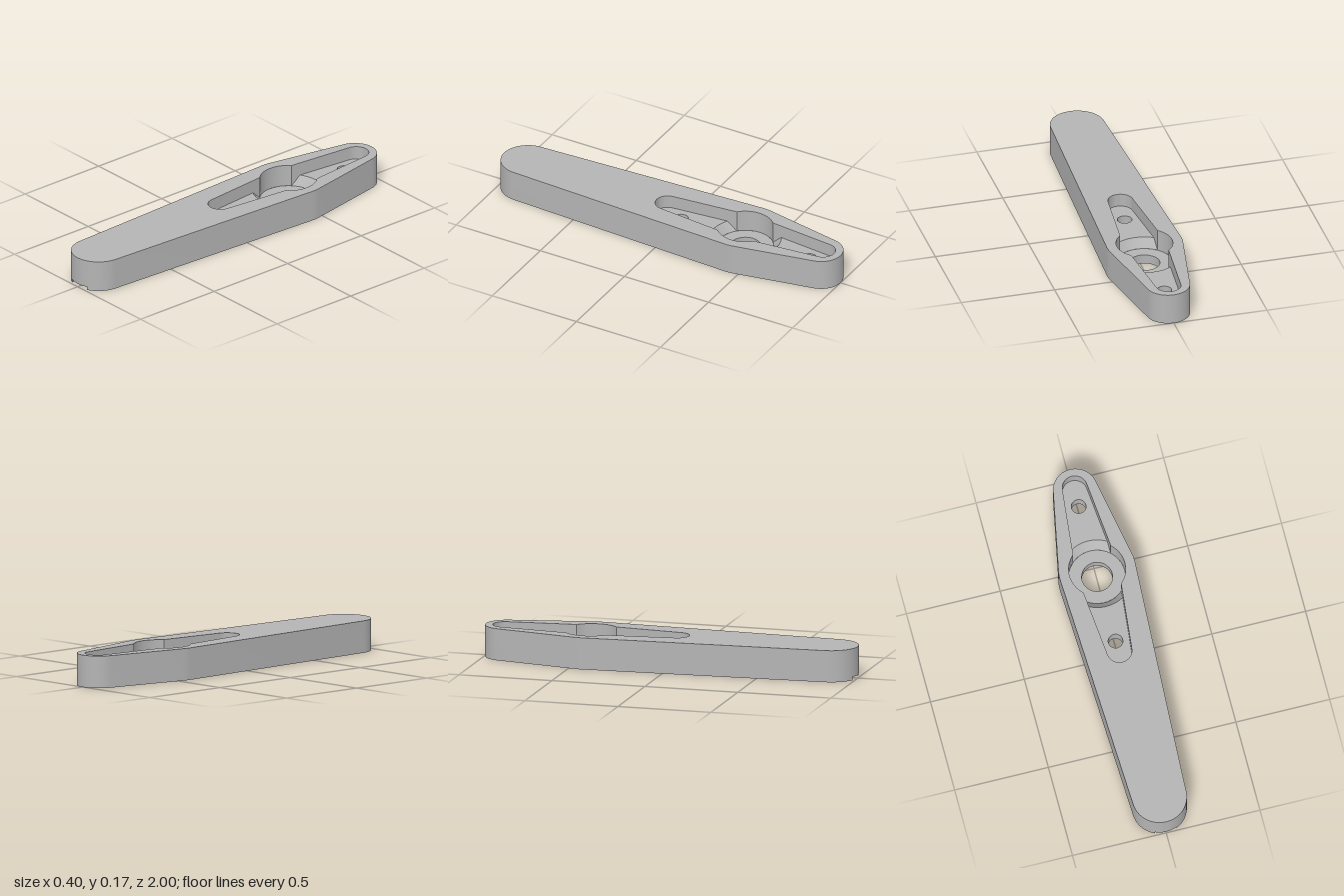
import * as THREE from 'three';
import { mergeGeometries, toCreasedNormals } from 'three/addons/utils/BufferGeometryUtils.js';

const HEIGHT = 0.167, ARM_Y = 0.097, HUB_Y = 0.05, BORE_Y = 0.03, NOTCH_Y = 0.018;
const HUB_Z = -0.434, HUB_R = 0.147, RAMP_R = 0.186, SHAFT_R = 0.08;
const SCREW_R = 0.038, BORE_R = 0.058, SCREW_D = 0.382;
const NOTCH_X = 0.058, NOTCH_Z = 0.91;
const PI = Math.PI;

// Points [x, z] along an arc centred on x = 0
function arc(cz, r, a0, a1, n = 12) {
  return Array.from({ length: n + 1 }, (_, i) => {
    const a = a0 + (a1 - a0) * i / n;
    return [r * Math.cos(a), cz + r * Math.sin(a)];
  });
}
const circle = (cz, r) => arc(cz, r, 0, 2 * PI, 40).slice(0, -1);
const at = (pts, y) => pts.map(([x, z]) => [x, y, z]);
const turn = pts => pts.map(([x, z]) => [-x, 2 * HUB_Z - z]);

// Surface between two rows of 3D points; faces outward unless inward is set
function strip(low, high, inward = false, closed = true) {
  const pos = [], n = low.length;
  for (let i = 0; i < (closed ? n : n - 1); i++) {
    const j = (i + 1) % n;
    const quad = [low[i], high[i], high[j], low[i], high[j], low[j]];
    pos.push(...(inward ? quad.reverse() : quad).flat());
  }
  const g = new THREE.BufferGeometry();
  g.setAttribute('position', new THREE.Float32BufferAttribute(pos, 3));
  return toCreasedNormals(g, 0.5);
}
const wall = (pts, y0, y1, inward) => strip(at(pts, y0), at(pts, y1), inward);

// Flat face with holes, facing up or down
function flat(pts, holes, y, up) {
  const s = up ? -1 : 1;
  const v = list => list.map(([x, z]) => new THREE.Vector2(x, s * z));
  const shape = new THREE.Shape(v(pts));
  shape.holes = holes.map(h => new THREE.Path(v(h)));
  const g = new THREE.ShapeGeometry(shape).rotateX(s * PI / 2).translate(0, y, 0).toNonIndexed();
  g.deleteAttribute('uv');
  return g;
}

export function createModel() {
  const group = new THREE.Group();
  group.name = 'leverArm';
  const grey = new THREE.MeshStandardMaterial({ color: 0xb4b4b4 });
  grey.name = 'grey';
  const add = (name, ...parts) => {
    const mesh = new THREE.Mesh(mergeGeometries(parts), grey);
    mesh.name = name;
    group.add(mesh);
  };

  // Outline: tangent hull around the front end, hub and back end
  const f = 0.0449, b = 0.1896, fz = 0.858, fr = 0.142;
  const na = Math.acos(NOTCH_X / fr);
  const frontRight = arc(fz, fr, f, na), frontTip = arc(fz, fr, na, PI - na);
  const frontLeft = arc(fz, fr, PI - na, PI - f);
  const rear = [
    ...arc(HUB_Z, 0.2, PI - f, PI + b, 4),
    ...arc(-0.885, 0.115, PI + b, 2 * PI - b, 28),
    ...arc(HUB_Z, 0.2, -b, f, 4),
  ];
  const notchBack = [[NOTCH_X, NOTCH_Z], [-NOTCH_X, NOTCH_Z]];
  const outline = [...frontRight, ...frontTip.slice(1, -1), ...frontLeft, ...rear];
  const notched = [...frontRight, ...notchBack, ...frontLeft, ...rear];

  // Recess outline: round hub with two tapering arms
  const hubA = Math.acos(0.1 / HUB_R), rampA = Math.acos(0.095 / RAMP_R), tip = 0.0967;
  const innerArc = arc(HUB_Z, HUB_R, hubA, PI - hubA);
  const outerArc = arc(HUB_Z, RAMP_R, rampA, PI - rampA);
  const endArc = arc(HUB_Z + 0.462, 0.065, tip, PI - tip, 20);
  const half = [
    ...arc(HUB_Z, HUB_R, 0, hubA),
    outerArc[0], ...endArc, outerArc[outerArc.length - 1],
    ...arc(HUB_Z, HUB_R, PI - hubA, PI).slice(0, -1),
  ];
  const recess = [...half, ...turn(half)];
  const floorY = ([x, z]) => {
    const t = (Math.hypot(x, z - HUB_Z) - HUB_R) / (RAMP_R - HUB_R);
    return HUB_Y + (ARM_Y - HUB_Y) * THREE.MathUtils.clamp(t, 0, 1);
  };

  const shaft = circle(HUB_Z, SHAFT_R);
  const screwZ = [HUB_Z + SCREW_D, HUB_Z - SCREW_D];
  const bores = screwZ.map(z => circle(z, BORE_R));

  // Outer body
  add('sideWall', wall(outline, NOTCH_Y, HEIGHT), wall(notched, 0, NOTCH_Y));
  add('topFace', flat(outline, [recess], HEIGHT, true));
  add('bottomFace', flat(notched, [shaft, ...bores], 0, false));
  add('notchCeiling', flat([...frontTip, ...notchBack.slice().reverse()], [], NOTCH_Y, false));

  // Recess walls and hub seat
  add('recessWall', strip(recess.map(p => [p[0], floorY(p), p[1]]), at(recess, HEIGHT), true));
  add('hubSeat', flat(circle(HUB_Z, HUB_R), [shaft], HUB_Y, true));
  add('shaftHole', wall(shaft, 0, HUB_Y, true));

  // Arm floors, ramps and stepped screw holes, one set at each side of the hub
  screwZ.forEach((z, i) => {
    const place = i ? turn : pts => pts;
    const screw = circle(z, SCREW_R);
    add('armFloor', flat(place([...endArc, ...outerArc.slice().reverse()]), [screw], ARM_Y, true));
    add('hubRamp', strip(at(place(innerArc), HUB_Y), at(place(outerArc), ARM_Y), true, false));
    add('screwHole',
      wall(screw, BORE_Y, ARM_Y, true),
      flat(bores[i], [screw], BORE_Y, false),
      wall(bores[i], 0, BORE_Y, true));
  });
  return group;
}
